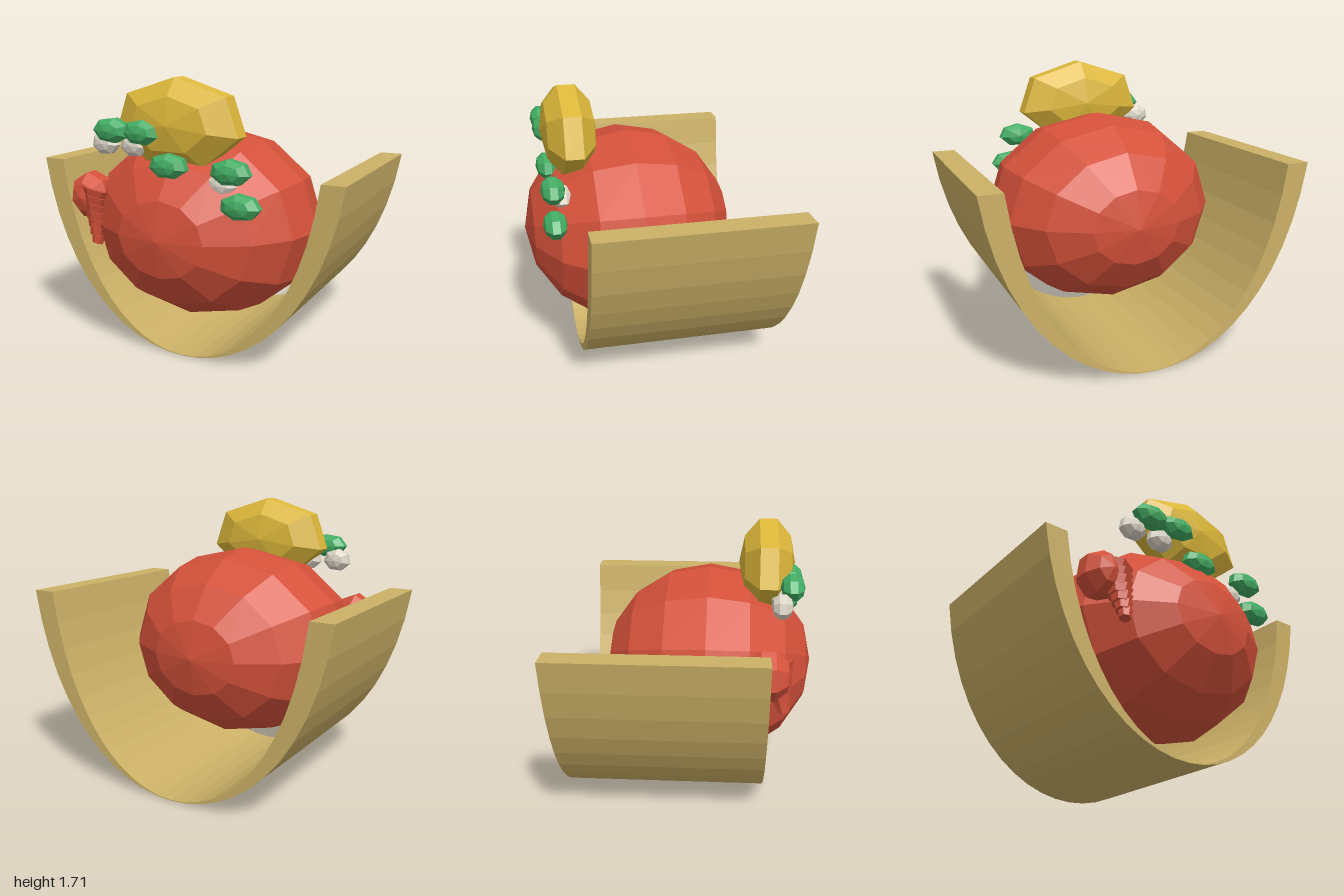
import * as THREE from 'three';

const mat = (name, color) => {
  const m = new THREE.MeshStandardMaterial({ color, flatShading: true });
  m.name = name;
  return m;
};

export function createModel() {
  const model = new THREE.Group();
  model.name = 'filledShell';
  const tan = mat('shellTan', 0xcbb066);
  const red = mat('fillingRed', 0xd4513a);
  const yellow = mat('cheeseYellow', 0xdcb73a);
  const green = mat('leafGreen', 0x43ad64);
  const cream = mat('onionCream', 0xddd6c8);

  const add = (name, geometry, material, x = 0, y = 0, z = 0) => {
    const mesh = new THREE.Mesh(geometry, material);
    mesh.name = name;
    mesh.position.set(x, y, z);
    model.add(mesh);
    return mesh;
  };

  // Faceted ellipsoid whose poles face front and back
  const blob = (around, rings, rx, ry, rz, turn = 0) =>
    new THREE.SphereGeometry(1, around, rings)
      .rotateX(Math.PI / 2).rotateZ(turn).scale(rx, ry, rz);

  // Curved shell, thick at the rims and thin at the bottom
  const rim = 1.165, low = -rim / 3;
  const profile = new THREE.Shape();
  profile.moveTo(-1, rim);
  profile.bezierCurveTo(-0.77, low, 0.77, low, 1, rim);
  profile.lineTo(0.86, rim);
  profile.bezierCurveTo(0.66, low + 0.006, -0.66, low + 0.006, -0.86, rim);
  profile.closePath();
  const shell = new THREE.ExtrudeGeometry(profile, { depth: 1.2, bevelEnabled: false, curveSegments: 24 });
  add('shell', shell, tan, 0, 0, -0.75);

  // Large round filling and the cheese lump on top
  add('filling', blob(12, 8, 0.73, 0.6, 0.645), red, 0, 0.805, 0.1);
  add('cheese', blob(7, 5, 0.431, 0.277, 0.17, -Math.PI / 2), yellow, 0, 1.442, 0.45);

  // Leaf pieces, each with an onion piece tucked below
  const leaves = [[-0.375, 1.395], [-0.17, 1.395], [0.005, 1.215], [0.395, 1.212], [0.455, 1.025]];
  leaves.forEach(([x, y], i) => {
    add('leaf' + (i + 1), blob(7, 5, 0.128, 0.078, 0.07, i * 0.1), green, x, y, 0.585);
    add('onion' + (i + 1), blob(7, 5, 0.094, 0.075, 0.062, 0.3), cream, x - 0.088, y - 0.085, 0.525);
  });

  // Curled morsel at the side: round head and ridged, tapering tail
  add('morselHead', blob(7, 5, 0.148, 0.155, 0.135, 0.3), red, -0.63, 0.96, 0.45);
  const start = new THREE.Vector3(-0.575, 0.98, 0.49);
  const end = new THREE.Vector3(-0.53, 0.71, 0.55);
  const axis = start.clone().sub(end).normalize();
  const count = 7;
  for (let i = 0; i < count; i++) {
    const t = i / (count - 1);
    const r = 0.115 - 0.07 * t;
    const p = start.clone().lerp(end, t);
    const ridge = add('morselRidge' + (i + 1), new THREE.CylinderGeometry(r, r * 0.75, 0.055, 7), red, p.x, p.y, p.z);
    ridge.quaternion.setFromUnitVectors(new THREE.Vector3(0, 1, 0), axis);
    ridge.rotateZ(-0.35);
  }
  return model;
}
